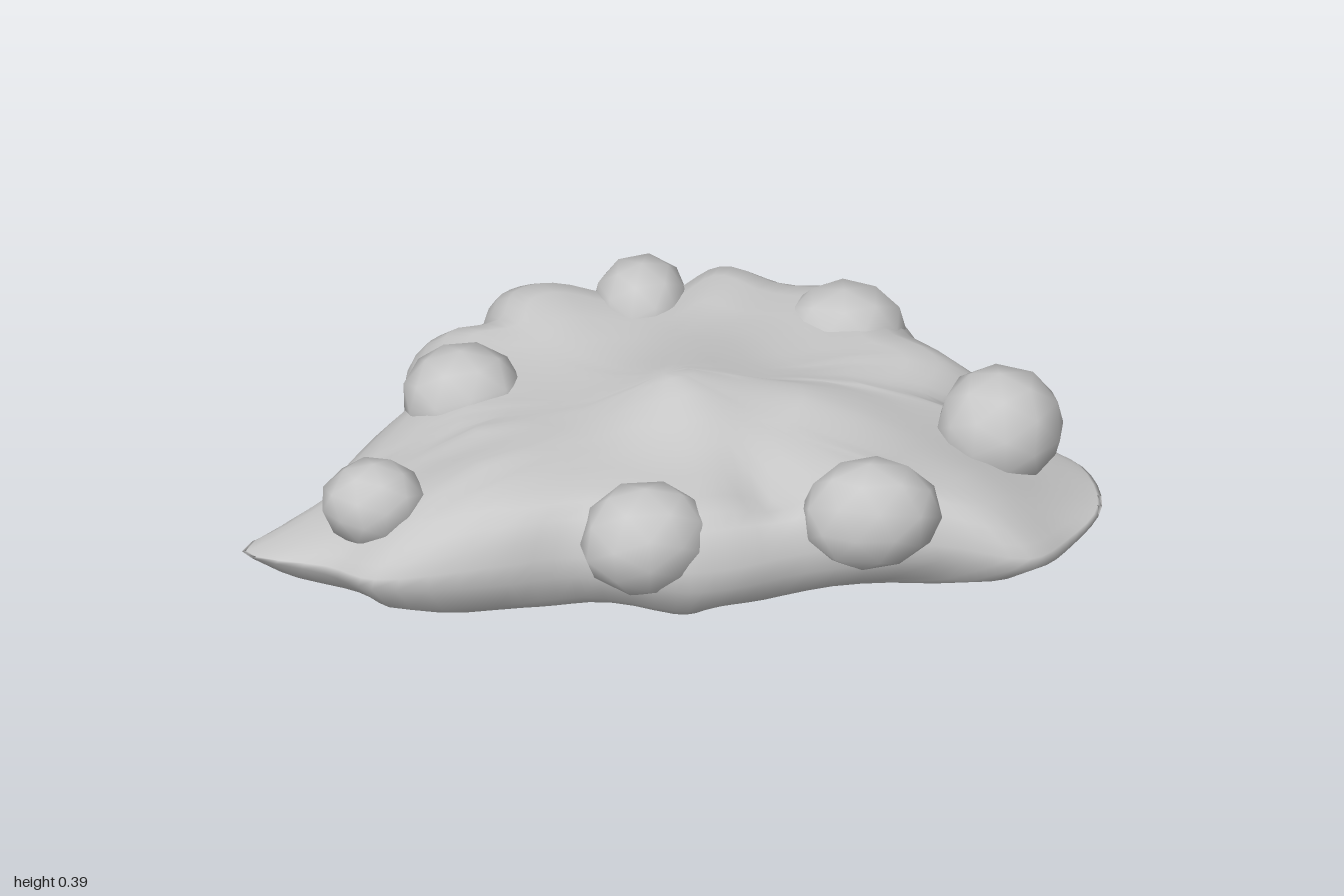
import * as THREE from 'three';
import { mergeVertices } from 'three/addons/utils/BufferGeometryUtils.js';

const stone = new THREE.MeshStandardMaterial({ color: 0xc8c8c8 });
stone.name = 'light grey stone';

// widest outline of the mound: x, z, height of the lip (counterclockwise from above)
const OUTLINE = [
  [1, 0.22, 0.08], [0.97, 0.06, 0.08], [0.88, 0, 0.09], [0.71, -0.05, 0.13], [0.77, -0.16, 0.17],
  [0.65, -0.25, 0.16], [0.61, -0.37, 0.16], [0.52, -0.47, 0.16], [0.34, -0.49, 0.15],
  [0.21, -0.56, 0.15], [0.08, -0.49, 0.15], [-0.05, -0.48, 0.16], [-0.25, -0.52, 0.18],
  [-0.36, -0.49, 0.17], [-0.41, -0.39, 0.14], [-0.55, -0.38, 0.12], [-0.57, -0.32, 0.13],
  [-0.55, -0.22, 0.13], [-0.68, -0.09, 0.12], [-0.78, 0.02, 0.1], [-0.8, 0.08, 0.1],
  [-1, 0.22, 0.09], [-0.82, 0.34, 0.1], [-0.72, 0.44, 0.12], [-0.45, 0.47, 0.13],
  [-0.25, 0.45, 0.13], [-0.02, 0.53, 0.13], [0.1, 0.52, 0.12], [0.29, 0.47, 0.12],
  [0.6, 0.44, 0.11], [0.82, 0.45, 0.08], [0.92, 0.35, 0.07],
];

// soft humps and hollows on the upper surface: x, z, radius, height
const HUMPS = [
  [0.32, 0.05, 0.1, 0.03], [0.05, 0.04, 0.16, 0.08], [0.1, -0.18, 0.14, 0.03],
  [-0.25, -0.4, 0.15, 0.04], [0.2, -0.42, 0.12, 0.04], [-0.35, 0.2, 0.18, 0.025],
  [0.22, 0.36, 0.09, -0.05], [0.63, -0.2, 0.13, 0.06], [-0.6, 0.3, 0.14, 0.03],
  [0.72, 0.3, 0.14, 0.03],
];

function topHeight(x, z) {
  let y = 0.3 - 0.39 * Math.max(0, Math.abs(x) - 0.45);
  for (const [hx, hz, r, h] of HUMPS) {
    y += h * Math.exp(-((x - hx) ** 2 + (z - hz) ** 2) / (r * r));
  }
  return y;
}

// ring scale and share of the climb from lip to top (negative: below the lip)
const RINGS = [
  [0.82, -1], [0.935, -0.6], [1, 0], [0.99, 0.3], [0.965, 0.58], [0.92, 0.8], [0.85, 0.94],
  [0.75, 1], [0.6, 1], [0.45, 1], [0.32, 1], [0.19, 1], [0.07, 1],
];

function makeMound() {
  const group = new THREE.Group();
  group.name = 'mound';
  const n = 128;
  const curve = new THREE.CatmullRomCurve3(
    OUTLINE.map(([x, z, y]) => new THREE.Vector3(x, y, z)), true, 'centripetal');
  const lip = Array.from({ length: n }, (_, j) => curve.getPoint(j / n));
  const pos = [], index = [], floorPos = [0, 0, 0], floorIndex = [];

  RINGS.forEach(([s, t], i) => lip.forEach((p, j) => {
    // shallow vertical folds at the foot
    const fold = t < 0 ? 1 - 0.015 * t * Math.sin(j / n * Math.PI * 42) : 1;
    const x = p.x * s * fold, z = p.z * s * fold;
    const y = t < 0 ? p.y * (1 + t) : p.y + (topHeight(x, z) - p.y) * t;
    pos.push(x, y, z);
    const k = (j + 1) % n;
    if (i === 0) {
      floorPos.push(x, 0, z);
      floorIndex.push(0, k + 1, j + 1);
    } else {
      const a = (i - 1) * n + j, b = (i - 1) * n + k, c = i * n + j, d = i * n + k;
      index.push(a, b, d, a, d, c);
    }
  }));
  // close the middle of the top
  const last = (RINGS.length - 1) * n;
  pos.push(0, topHeight(0, 0), 0);
  for (let j = 0; j < n; j++) index.push(last + j, last + (j + 1) % n, last + n);

  for (const [name, p, ix] of [['moundSurface', pos, index], ['flatBase', floorPos, floorIndex]]) {
    const g = new THREE.BufferGeometry();
    g.setAttribute('position', new THREE.Float32BufferAttribute(p, 3));
    g.setIndex(ix);
    g.computeVertexNormals();
    const mesh = new THREE.Mesh(g, stone);
    mesh.name = name;
    group.add(mesh);
  }
  return group;
}

// boulders half sunk into the mound: centre, radii, narrowing towards the bottom
const BOULDERS = [
  [-0.083, 0.215, 0.435, 0.16, 0.145, 0.13, 0.2],
  [0.44, 0.245, 0.42, 0.165, 0.14, 0.12, 0.05],
  [0.775, 0.225, 0.08, 0.15, 0.15, 0.14, 0],
  [-0.7, 0.245, 0.27, 0.12, 0.11, 0.105, 0.1],
  [-0.46, 0.25, -0.12, 0.145, 0.13, 0.125, 0.05],
  [-0.01, 0.27, -0.41, 0.115, 0.12, 0.12, 0.1],
  [0.45, 0.24, -0.31, 0.145, 0.115, 0.125, 0.1],
];

// low-poly rounded stone
function makeBoulder([x, y, z, rx, ry, rz, narrowing], seed) {
  let g = new THREE.IcosahedronGeometry(1, 1);
  g.deleteAttribute('uv');
  g.deleteAttribute('normal');
  g = mergeVertices(g, 1e-3);
  g.rotateY(seed * 1.3);
  const p = g.attributes.position;
  for (let i = 0; i < p.count; i++) {
    const wobble = 1 + 0.05 * Math.sin(i * 12.9 + seed * 7.3);
    const taper = wobble * (1 + narrowing * Math.min(0, p.getY(i)));
    p.setXYZ(i, p.getX(i) * rx * taper, p.getY(i) * ry, p.getZ(i) * rz * taper);
  }
  g.computeVertexNormals();
  const mesh = new THREE.Mesh(g, stone);
  mesh.name = 'boulder' + (seed + 1);
  mesh.position.set(x, y, z);
  return mesh;
}

export function createModel() {
  const model = new THREE.Group();
  model.name = 'rockMound';
  model.add(makeMound());
  BOULDERS.forEach((b, i) => model.add(makeBoulder(b, i)));
  return model;
}
